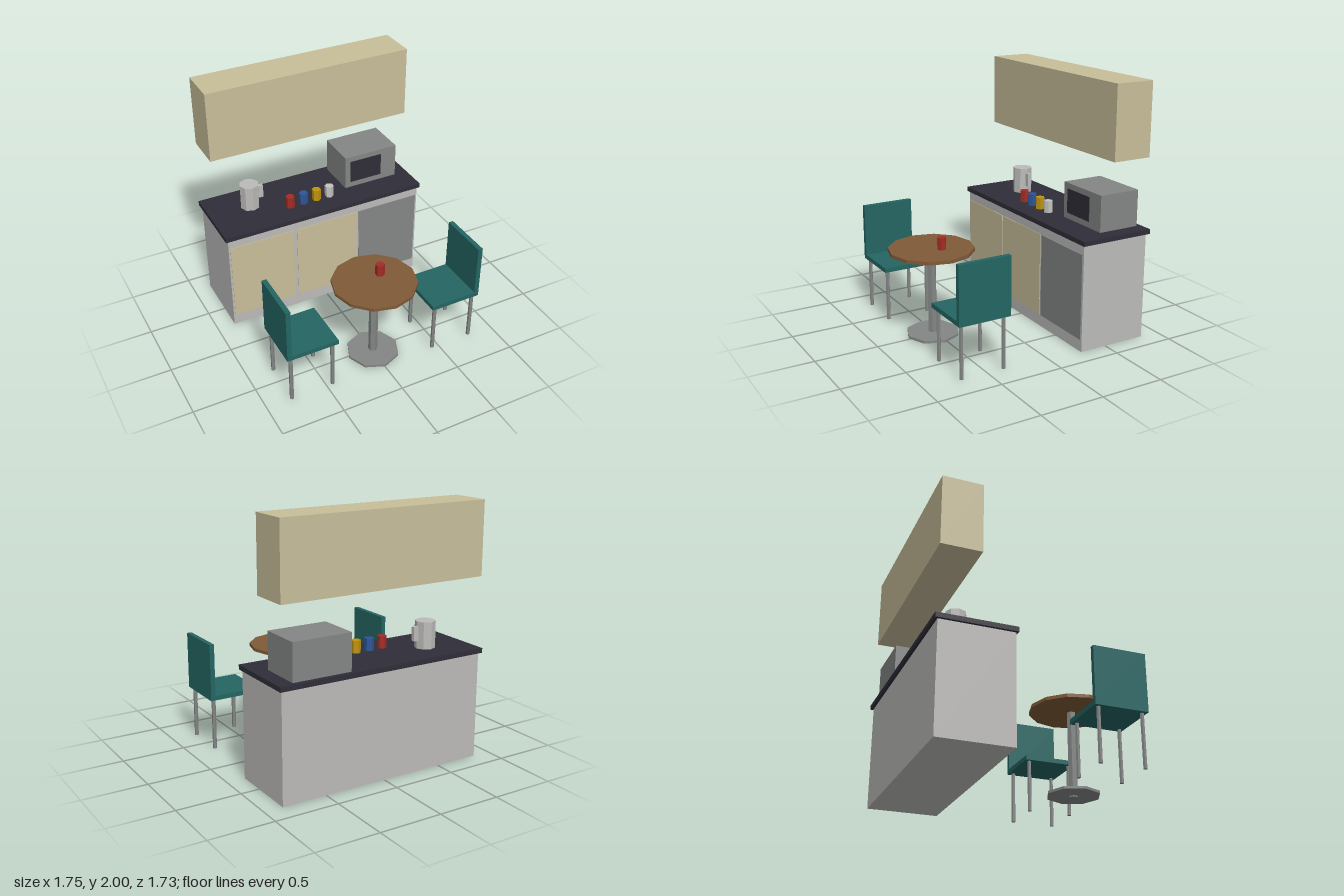
import * as THREE from 'three';

const mat = (name, color) => {
  const m = new THREE.MeshStandardMaterial({ color });
  m.name = name;
  m.flatShading = true;
  return m;
};

export function createModel() {
  const cream = mat('cream', 0xc8be9a);
  const dark = mat('charcoal', 0x2f2e39);
  const light = mat('light grey', 0xbcbbba);
  const steel = mat('steel grey', 0x848686);
  const teal = mat('teal', 0x246663);
  const wood = mat('wood brown', 0x805a38);
  const red = mat('red', 0xa42c26);
  const blue = mat('blue', 0x2e569c);
  const yellow = mat('yellow', 0xc0930f);
  const white = mat('off white', 0xc4c4c0);

  const model = new THREE.Group();
  model.name = 'kitchenette';

  // Box given by its minimum and maximum on each axis
  const box = (parent, name, m, [x0, x1], [y0, y1], [z0, z1]) => {
    const mesh = new THREE.Mesh(new THREE.BoxGeometry(x1 - x0, y1 - y0, z1 - z0), m);
    mesh.position.set((x0 + x1) / 2, (y0 + y1) / 2, (z0 + z1) / 2);
    mesh.name = name;
    parent.add(mesh);
  };
  // Upright faceted cylinder from y0 to y1
  const post = (parent, name, m, r, sides, x, z, y0, y1) => {
    const mesh = new THREE.Mesh(new THREE.CylinderGeometry(r, r, y1 - y0, sides), m);
    mesh.position.set(x, (y0 + y1) / 2, z);
    mesh.name = name;
    parent.add(mesh);
  };
  const group = (name) => {
    const g = new THREE.Group();
    g.name = name;
    model.add(g);
    return g;
  };

  // Counter with two cupboard doors and an appliance door
  const counter = group('counter');
  box(counter, 'counterBody', light, [-0.855, 0.855], [0, 0.84], [-0.845, -0.278]);
  box(counter, 'worktop', dark, [-0.875, 0.875], [0.84, 0.877], [-0.867, -0.263]);
  [[-0.84, -0.295, cream], [-0.265, 0.28, cream], [0.3, 0.84, steel]].forEach(([a, b, m], i) =>
    box(counter, i < 2 ? 'cupboardDoor' : 'applianceDoor', m, [a, b], [0.095, 0.765], [-0.279, -0.273]));

  // Wall cupboard
  box(model, 'wallCupboard', cream, [-0.855, 0.855], [1.43, 2], [-0.845, -0.527]);

  // Microwave
  const microwave = group('microwave');
  box(microwave, 'microwaveBody', steel, [0.285, 0.76], [0.877, 1.163], [-0.83, -0.488]);
  box(microwave, 'microwaveWindow', dark, [0.333, 0.618], [0.925, 1.118], [-0.489, -0.484]);

  // Kettle
  const kettle = group('kettle');
  post(kettle, 'kettleBody', light, 0.079, 8, -0.525, -0.61, 0.877, 1.087);
  box(kettle, 'kettleHandle', light, [-0.455, -0.41], [0.94, 1.05], [-0.625, -0.595]);

  // Row of mugs on the worktop and one on the table
  [red, blue, yellow, white].forEach((m, i) =>
    post(model, 'mug', m, 0.037, 6, -0.238 + i * 0.118, -0.453, 0.877, 0.973));
  post(model, 'tableMug', red, 0.037, 6, 0.076, 0.482, 0.715, 0.81);

  // Round pedestal table
  const table = group('table');
  post(table, 'tableTop', wood, 0.332, 12, 0, 0.532, 0.688, 0.715);
  post(table, 'tableColumn', steel, 0.036, 6, 0, 0.532, 0, 0.688);
  post(table, 'tableBase', steel, 0.21, 8, 0, 0.532, 0.01, 0.03);

  // Two chairs facing the table
  for (const s of [1, -1]) {
    const chair = group(s > 0 ? 'leftChair' : 'rightChair');
    const span = (a, b) => (s > 0 ? [a, b] : [-b, -a]);
    box(chair, 'seat', teal, span(0.41, 0.828), [0.413, 0.45], [0.322, 0.74]);
    box(chair, 'backrest', teal, span(0.79, 0.828), [0.45, 0.868], [0.322, 0.74]);
    for (const x of [0.447, 0.79])
      for (const z of [0.362, 0.706]) post(chair, 'chairLeg', steel, 0.016, 6, s * x, z, 0, 0.413);
  }

  return model;
}
